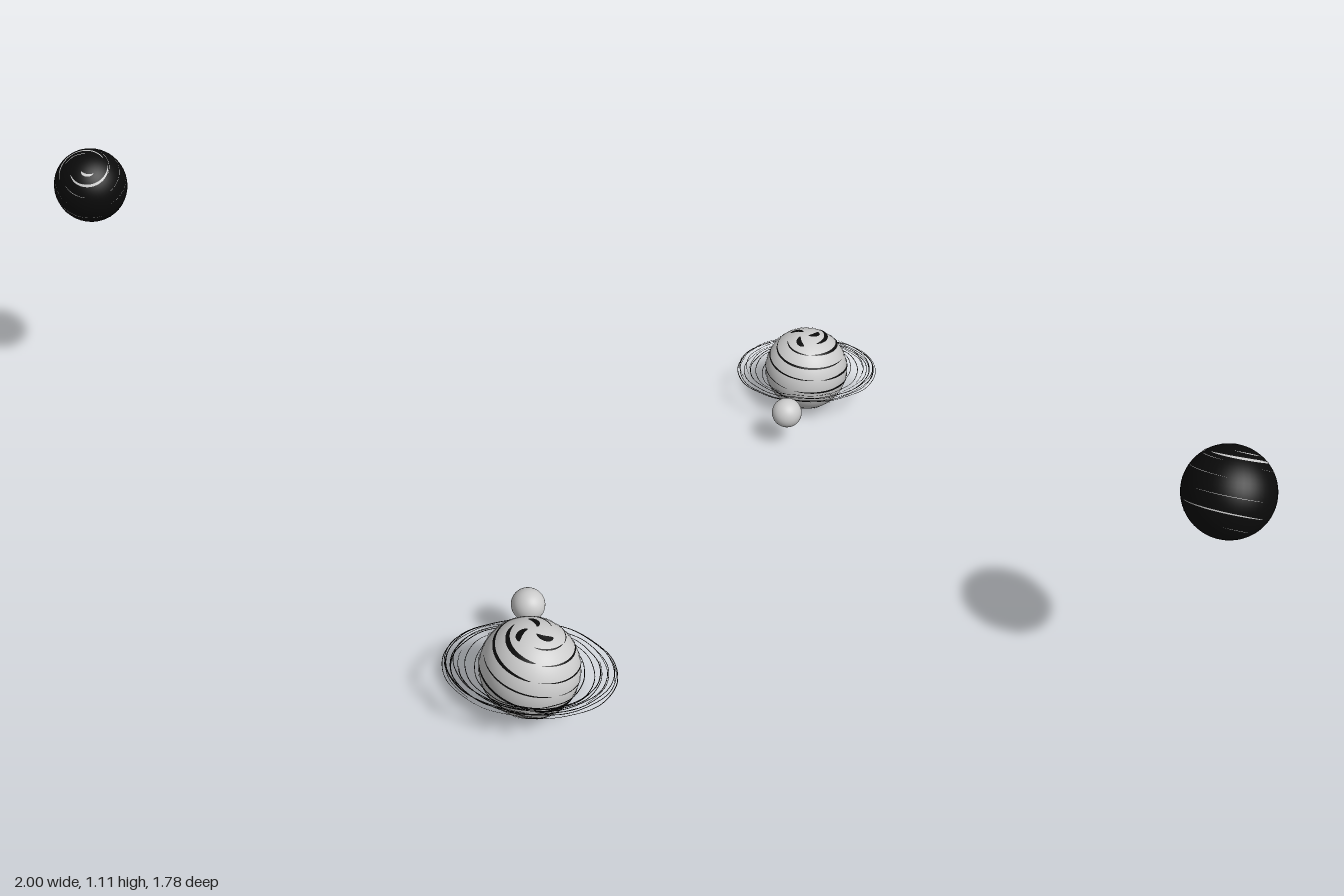
import * as THREE from 'three';
import { mergeGeometries } from 'three/addons/utils/BufferGeometryUtils.js';

const grey = new THREE.MeshStandardMaterial({ color: 0xcccccc, side: THREE.DoubleSide });
const black = new THREE.MeshStandardMaterial({ color: 0x0a0a0a, side: THREE.DoubleSide });

// Small seeded generator for hand-drawn irregularity
function seeded(seed) {
  return () => {
    seed = (seed * 16807) % 2147483647;
    return seed / 2147483647;
  };
}

// Strip between two edges; edge(t, side) returns a point, side is -1 or 1
function ribbon(edge, n) {
  const points = [], index = [];
  for (let i = 0; i <= n; i++) {
    points.push(edge(i / n, -1), edge(i / n, 1));
    if (i < n) index.push(2 * i, 2 * i + 1, 2 * i + 2, 2 * i + 1, 2 * i + 3, 2 * i + 2);
  }
  const g = new THREE.BufferGeometry().setFromPoints(points);
  g.setIndex(index);
  g.computeVertexNormals();
  return g;
}

// Tapered brush stroke lying on a sphere (angles in degrees)
function stroke(radius, lat0, lat1, lon0, lon1, width) {
  return ribbon((t, side) => {
    const taper = Math.pow(Math.sin(Math.PI * t), 0.6);
    const lat = lat0 + (lat1 - lat0) * t + side * width * 0.5 * taper;
    const phi = THREE.MathUtils.degToRad(90 - lat);
    const theta = THREE.MathUtils.degToRad(lon0 + (lon1 - lon0) * t);
    return new THREE.Vector3().setFromSphericalCoords(radius, phi, theta);
  }, 40);
}

// Spiral arms broken into tapering strokes
function spiralStrokes(radius, arms, turns, latMax, minWidth, maxWidth, fill, random) {
  const out = [];
  for (let a = 0; a < arms; a++) {
    let t = 0;
    while (t < 0.98) {
      const t1 = Math.min(1, t + (0.22 + 0.4 * random()) / turns);
      const end = t + (t1 - t) * fill;
      const lat = (s) => latMax * (1 - 2 * s) + 3 * (random() - 0.5);
      const lon = (s) => (a / arms + s * turns) * 360;
      const width = minWidth + (maxWidth - minWidth) * random() ** 2;
      out.push(stroke(radius, lat(t), lat(end), lon(t), lon(end), width));
      t = t1;
    }
  }
  return out;
}

function add(group, name, geometry, material) {
  const mesh = new THREE.Mesh(geometry, material);
  mesh.name = name;
  group.add(mesh);
  return mesh;
}

function ringedPlanet() {
  const group = new THREE.Group();
  group.name = 'ringedPlanet';
  const random = seeded(71);
  const R = 0.156;
  add(group, 'planetBody', new THREE.SphereGeometry(R, 48, 32), grey);

  // Surface bands, plus heavy commas around both poles
  const bands = spiralStrokes(R * 1.012, 3, 2.4, 66, 1.5, 6, 0.95, random);
  for (let i = 0; i < 3; i++) {
    const lon = i * 120 + 20;
    bands.push(stroke(R * 1.012, 82, 68, lon, lon + 55, 11));
    bands.push(stroke(R * 1.012, -62, -78, lon, lon + 110, 9));
  }
  // Thicker bands low on the front
  bands.push(stroke(R * 1.014, -30, -40, -10, 85, 7), stroke(R * 1.014, -12, -20, 5, 75, 6));
  add(group, 'surfaceBands', mergeGeometries(bands), black);

  // Flat, thin oval ring lines with loose spacing
  const lines = [];
  for (let i = 0; i < 11; i++) {
    const s = i / 10;
    const a = 0.172 + 0.096 * Math.sqrt(s), b = 0.168 + 0.042 * s;
    const start = random() * Math.PI * 2;
    const sweep = i === 10 ? Math.PI * 2 : Math.PI * (1.1 + 0.85 * random());
    const lift = 0.016 * (random() - 0.5), phase = random() * 6;
    lines.push(ribbon((t, side) => {
      const angle = start + sweep * t;
      const w = side * 0.0015 * (0.4 + 0.6 * Math.sin(Math.PI * t));
      const wave = i === 10 ? 0 : 0.005 * Math.sin(2 * angle + phase);
      return new THREE.Vector3(
        (a + wave + w) * Math.cos(angle),
        lift * Math.abs(Math.cos(angle)) + 0.002 * Math.sin(9 * angle + phase),
        (b + wave * 0.4 + w) * Math.sin(angle));
    }, 120));
  }
  add(group, 'rings', mergeGeometries(lines), black);
  group.position.set(0.73, 0.168, 0.68);
  return group;
}

function darkPlanet() {
  const group = new THREE.Group();
  group.name = 'darkPlanet';
  const random = seeded(29);
  const R = 0.13;
  add(group, 'darkPlanetBody', new THREE.SphereGeometry(R, 48, 32), black);

  // Pale slivers winding around the tilted axis
  const slivers = spiralStrokes(R * 1.006, 2, 3, 62, 0.5, 2, 0.6, random);
  slivers.push(
    stroke(R * 1.006, 66, 52, -60, 110, 4),
    stroke(R * 1.006, 54, 42, 130, 290, 4),
    stroke(R * 1.006, 82, 72, -30, 60, 5));
  add(group, 'paleSlivers', mergeGeometries(slivers), grey);
  group.rotation.x = 0.6;
  group.position.set(-0.868, 0.995, -0.76);
  return group;
}

export function createModel() {
  const model = new THREE.Group();
  model.name = 'planets';
  model.add(ringedPlanet(), darkPlanet());
  add(model, 'moon', new THREE.SphereGeometry(0.055, 32, 24), grey).position.set(0.73, 0.168, 0.395);
  return model;
}
